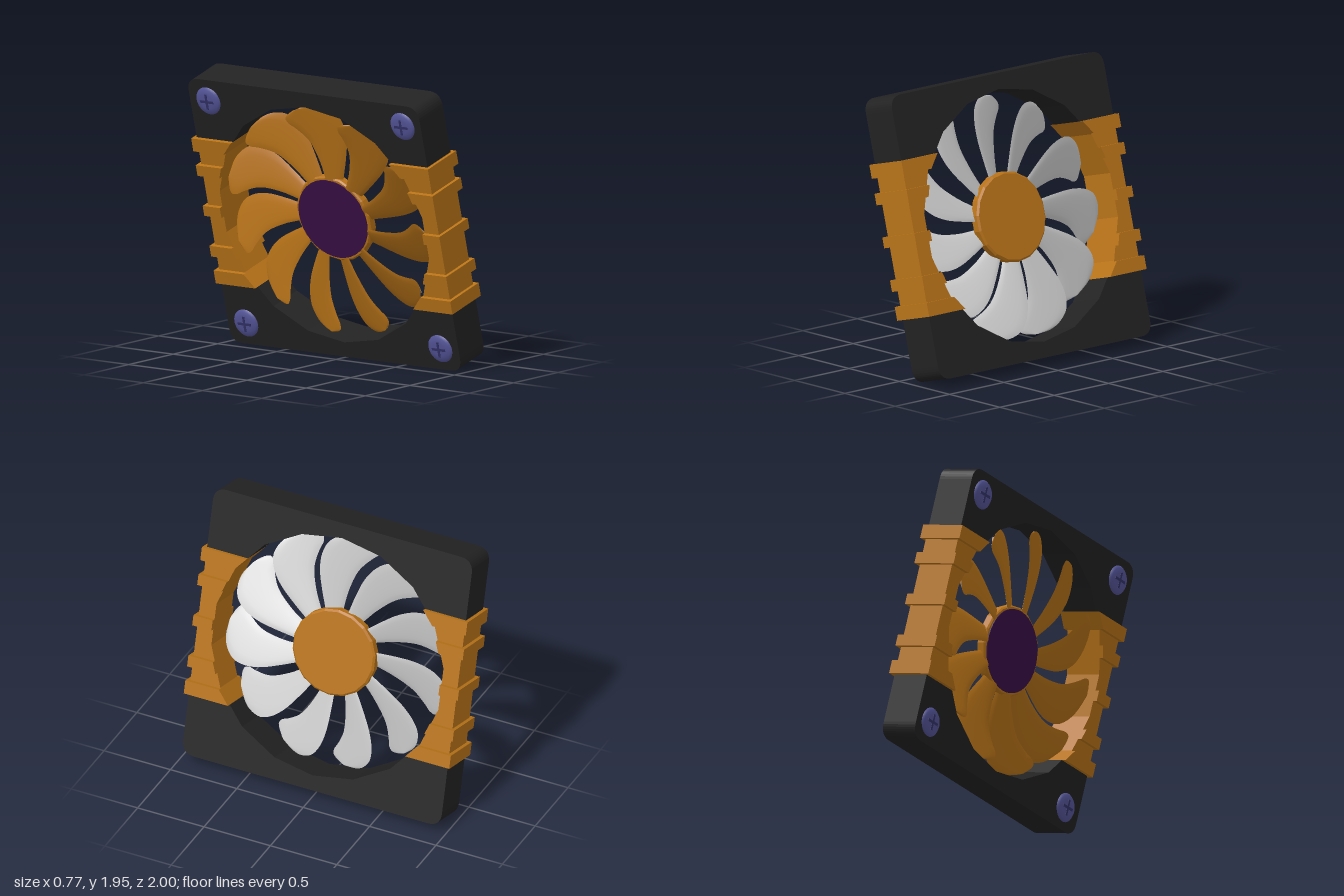
import * as THREE from 'three';

const mat = (color, extra = {}) => new THREE.MeshStandardMaterial({ color, ...extra });
const black = mat(0x222222);
const orange = mat(0xb87318);
const orangeFlat = mat(0xb87318, { flatShading: true });
const grey = mat(0xcccccc);
const blue = mat(0x55559a);
const darkBlue = mat(0x33336a);
const purple = mat(0x3a0f48);

const HALF = 0.975, DEPTH = 0.27, CLAMP = 0.535, HOLE = 0.868, BLADES = 11;

// Right half of the 18-sided opening, from top to bottom
const holePts = Array.from({ length: 10 }, (_, k) => {
  const a = (k * Math.PI) / 9;
  return new THREE.Vector2(HOLE * Math.sin(a), HOLE * Math.cos(a));
});

// Half-width of the opening at height y
function holeX(y) {
  for (let k = 0; k < 9; k++) {
    const p = holePts[k], q = holePts[k + 1];
    if (y <= p.y && y >= q.y) return p.x + ((q.x - p.x) * (p.y - y)) / (p.y - q.y);
  }
  return 0;
}

function add(parent, name, geometry, material) {
  const mesh = new THREE.Mesh(geometry, material);
  mesh.name = name;
  parent.add(mesh);
  return mesh;
}

function slab(shape, depth) {
  const g = new THREE.ExtrudeGeometry(shape, { depth, bevelEnabled: false, curveSegments: 10 });
  return g.translate(0, 0, -depth / 2);
}

// Frame end: rounded outer corners, opening cut from the inner edge
function frameEnd(sign) {
  const s = new THREE.Shape(), r = 0.1, h = HALF, y = (v) => v * sign;
  s.moveTo(-h, y(CLAMP));
  s.lineTo(-h, y(h - r));
  s.quadraticCurveTo(-h, y(h), -h + r, y(h));
  s.lineTo(h - r, y(h));
  s.quadraticCurveTo(h, y(h), h, y(h - r));
  s.lineTo(h, y(CLAMP));
  s.lineTo(holeX(CLAMP), y(CLAMP));
  const arc = holePts.filter((p) => p.y > CLAMP);
  for (const p of [...arc].reverse()) s.lineTo(p.x, y(p.y));
  for (const p of arc.slice(1)) s.lineTo(-p.x, y(p.y));
  s.lineTo(-holeX(CLAMP), y(CLAMP));
  return slab(s, DEPTH);
}

// Side strip between two heights, following the opening on its inner edge
function sideStrip(side, y0, y1, outer, depth) {
  const inner = holePts.filter((p) => p.y < y1 && p.y > y0);
  const pts = [
    [outer, y0], [outer, y1], [holeX(y1), y1],
    ...inner.map((p) => [p.x, p.y]), [holeX(y0), y0],
  ];
  return slab(new THREE.Shape(pts.map(([x, y]) => new THREE.Vector2(x * side, y))), depth);
}

// Blade edges as [degrees clockwise from up, radius], root to tip
const leftEdge = [[-22, 0.29], [-19.5, 0.45], [-17.5, 0.59], [-14.5, 0.7], [-10.5, 0.78], [-5, 0.825], [0, 0.84], [6, 0.835]];
const rightEdge = [[0, 0.29], [2.5, 0.43], [6.5, 0.59], [12, 0.7], [14.2, 0.74], [14.5, 0.78], [12.5, 0.805], [9, 0.825]];
const edgeCurve = (pts) => new THREE.CatmullRomCurve3(pts.map(([deg, r]) => {
  const a = THREE.MathUtils.degToRad(deg);
  return new THREE.Vector3(r * Math.sin(a), r * Math.cos(a), 0);
}));

// One face of a pitched, slightly domed blade (face = 1 front, -1 back)
function bladeFace(face) {
  const L = edgeCurve(leftEdge), R = edgeCurve(rightEdge), NU = 28, NV = 10;
  const pos = [], idx = [];
  for (let i = 0; i <= NU; i++) {
    const a = L.getPoint(i / NU), b = R.getPoint(i / NU);
    for (let j = 0; j <= NV; j++) {
      const p = a.clone().lerp(b, j / NV), v = (2 * j) / NV - 1;
      const pitch = -0.015 - 0.4 * (p.x + 0.06);
      pos.push(p.x, p.y, pitch + face * 0.01 * Math.sqrt(Math.max(0, 1 - v * v)));
      if (i < NU && j < NV) {
        const k = i * (NV + 1) + j, n = k + NV + 1;
        if (face > 0) idx.push(k, k + 1, n, k + 1, n + 1, n);
        else idx.push(k, n, k + 1, k + 1, n, n + 1);
      }
    }
  }
  const g = new THREE.BufferGeometry();
  g.setAttribute('position', new THREE.Float32BufferAttribute(pos, 3));
  g.setIndex(idx);
  g.computeVertexNormals();
  return g;
}

// Lathe whose axis runs along z, profile given as [radius, z]
const turned = (profile, sides) => new THREE.LatheGeometry(
  profile.map(([r, z]) => new THREE.Vector2(r, z)), sides).rotateX(Math.PI / 2);

export function createModel() {
  const model = new THREE.Group();
  model.name = 'coolingFan';

  // Built facing +z, then turned to face +x and leaned back
  const fan = new THREE.Group();
  fan.name = 'tiltedFan';
  fan.rotation.set(0, Math.PI / 2, Math.PI / 12, 'ZYX');
  fan.position.y = 0.977;
  model.add(fan);

  add(fan, 'frameTop', frameEnd(1), black);
  add(fan, 'frameBottom', frameEnd(-1), black);

  // Side grips with raised ribs
  const ribs = [[0.44, CLAMP], [0.258, 0.337], [-0.037, 0.037], [-0.337, -0.258], [-CLAMP, -0.44]];
  for (const side of [1, -1]) {
    const grip = new THREE.Group();
    grip.name = side > 0 ? 'rightGrip' : 'leftGrip';
    fan.add(grip);
    add(grip, 'gripBody', sideStrip(side, -CLAMP, CLAMP, HALF, DEPTH), orange);
    for (const [y0, y1] of ribs) add(grip, 'gripRib', sideStrip(side, y0, y1, 1, 0.33), orange);
  }

  // Hub with chamfered front and a coloured disc behind
  const hub = turned([[0, -0.03], [0.3, -0.03], [0.31, -0.02], [0.31, 0.03], [0.296, 0.042], [0, 0.042]], 18);
  add(fan, 'hub', hub, orangeFlat);
  const disc = add(fan, 'hubBackDisc', new THREE.CylinderGeometry(0.285, 0.285, 0.008, 36), purple);
  disc.rotation.x = Math.PI / 2;
  disc.position.z = -0.033;

  // Blades
  const front = bladeFace(1), back = bladeFace(-1);
  for (let i = 0; i < BLADES; i++) {
    const blade = new THREE.Group();
    blade.name = 'blade';
    blade.rotation.z = (-i * 2 * Math.PI) / BLADES;
    add(blade, 'bladeFront', front, grey);
    add(blade, 'bladeBack', back, orange);
    fan.add(blade);
  }

  // Cross-head screws on the back corners
  const head = turned([[0, -0.022], [0.05, -0.021], [0.085, -0.015], [0.1, 0], [0.1, 0.01]].map(([r, z]) => [r, z]), 28);
  const slot = new THREE.BoxGeometry(0.11, 0.018, 0.006);
  for (const x of [-0.82, 0.82]) for (const y of [-0.82, 0.82]) {
    const screw = new THREE.Group();
    screw.name = 'screw';
    screw.position.set(x, y, -DEPTH / 2);
    add(screw, 'screwHead', head, blue);
    for (const turn of [0, Math.PI / 2]) {
      const bar = add(screw, 'screwSlot', slot, darkBlue);
      bar.position.z = -0.0205;
      bar.rotation.z = turn;
    }
    fan.add(screw);
  }
  return model;
}
